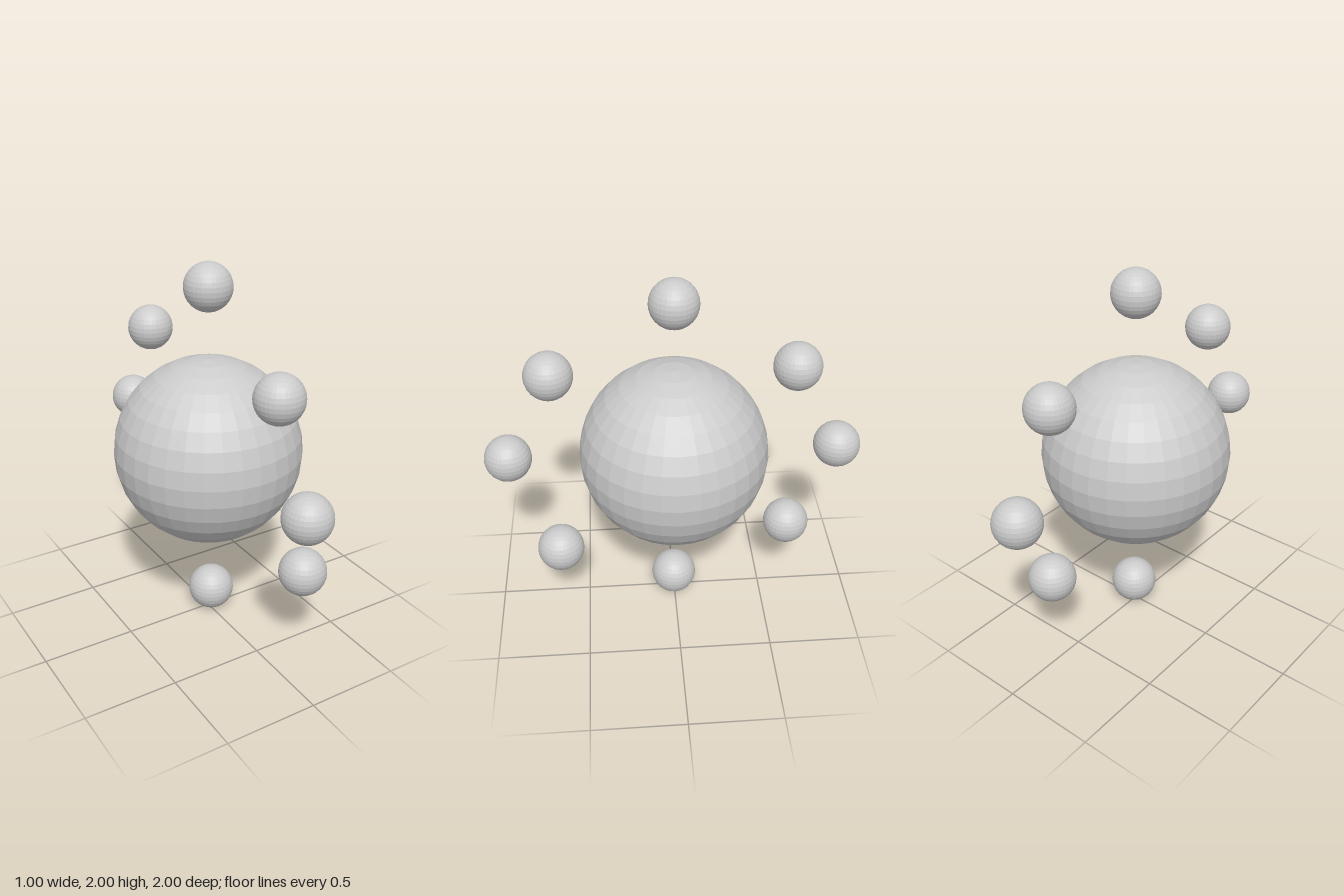
import * as THREE from 'three';

export function createModel() {
  const group = new THREE.Group();
  const material = new THREE.MeshStandardMaterial({ color: 0xcccccc, flatShading: true });

  const addSphere = (name, geometry, x, y, z) => {
    const mesh = new THREE.Mesh(geometry, material);
    mesh.name = name;
    mesh.position.set(x, y, z);
    group.add(mesh);
  };

  // Large faceted sphere in the middle
  addSphere('centralSphere', new THREE.SphereGeometry(0.5, 32, 16), 0, 1, 0);

  // Ring of small spheres around it, the lower ones drifting to the side
  const small = new THREE.SphereGeometry(0.125, 32, 16);
  const satellites = {
    topSatellite: [0, 1.875, 0],
    upperFrontSatellite: [0, 1.5, 0.625],
    frontSatellite: [0, 1, 0.875],
    lowerFrontSatellite: [0.182, 0.515, 0.628],
    bottomSatellite: [0.017, 0.127, 0.003],
    lowerBackSatellite: [0.045, 0.507, -0.626],
    backSatellite: [0, 1, -0.875],
    upperBackSatellite: [0, 1.5, -0.625],
  };
  for (const [name, position] of Object.entries(satellites)) addSphere(name, small, ...position);

  return group;
}
